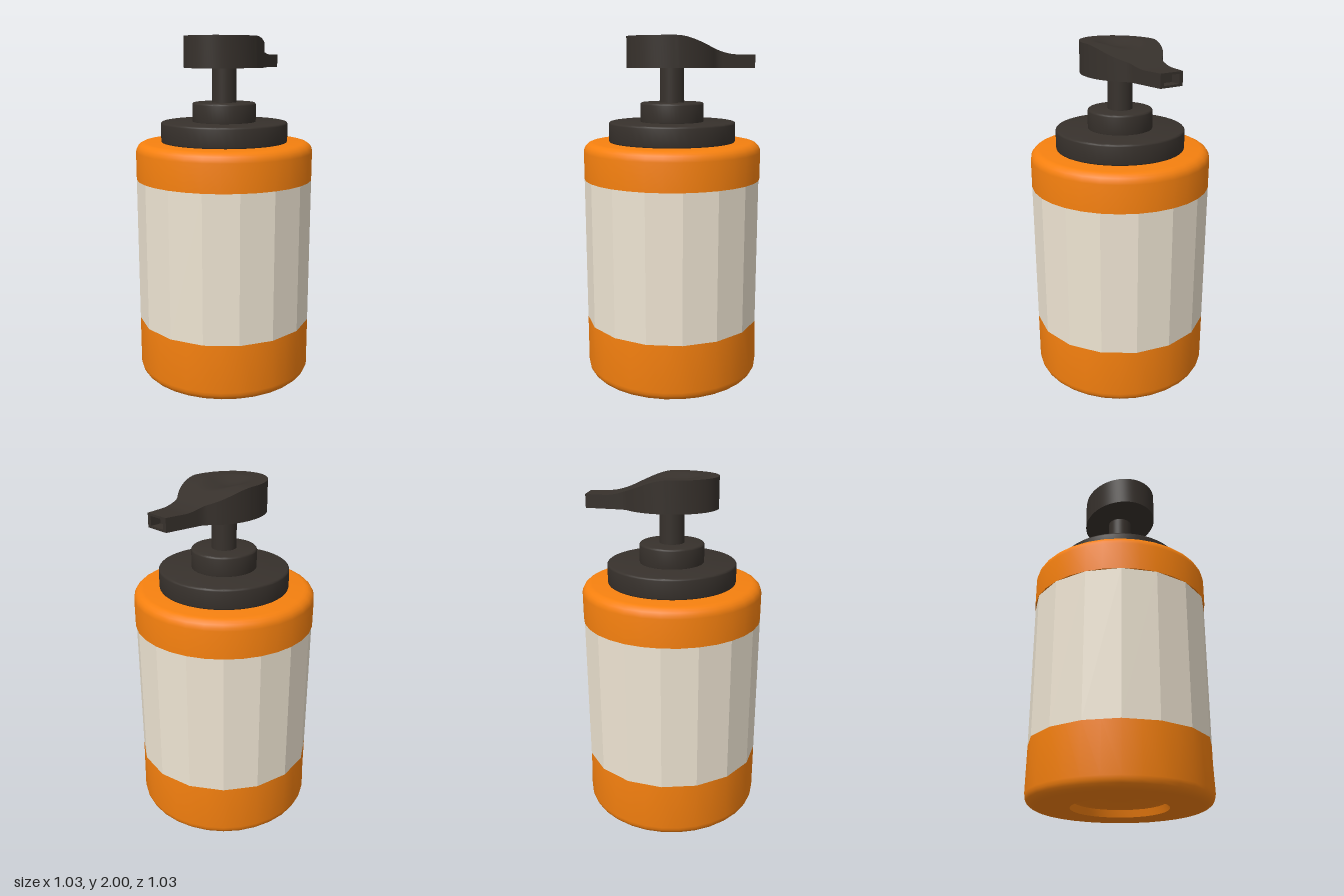
import * as THREE from 'three';
import { toCreasedNormals } from 'three/addons/utils/BufferGeometryUtils.js';

const orange = new THREE.MeshStandardMaterial({ color: 0xf5800f });
const cream = new THREE.MeshStandardMaterial({ color: 0xeee4d2, flatShading: true });
const dark = new THREE.MeshStandardMaterial({ color: 0x37312c });

function lathe(points, segments) {
  return new THREE.LatheGeometry(points.map(([x, y]) => new THREE.Vector2(x, y)), segments);
}

// Quarter-round profile points about (cx, cy), from angle a to b in degrees
function arc(cx, cy, r, a, b, steps = 5) {
  return Array.from({ length: steps + 1 }, (_, i) => {
    const t = THREE.MathUtils.degToRad(a + ((b - a) * i) / steps);
    return [cx + r * Math.cos(t), cy + r * Math.sin(t)];
  });
}

// Bottle: recessed base, rounded shoulders, groove that holds the label
function bodyGeometry() {
  const R = 0.515, low = 0.34, high = 1.19;
  const g = lathe([
    [0, 0.05], [0.24, 0.05], [0.258, 0.04], [0.27, 0],
    ...arc(R - 0.06, 0.06, 0.06, -90, 0),
    [R, low], [0.49, low], [0.49, high], [R, high],
    ...arc(R - 0.055, 1.35, 0.055, 0, 90),
    [0, 1.405],
  ], 32);
  // Pull in every other vertex of the lower band's rim to meet the 16-sided label
  const p = g.attributes.position, perColumn = p.count / 33;
  for (let i = 0; i < p.count; i++) {
    const odd = Math.floor(i / perColumn) % 2 === 1;
    if (odd && Math.abs(p.getY(i) - low) < 1e-4 && Math.hypot(p.getX(i), p.getZ(i)) > 0.5) {
      const k = Math.cos(Math.PI / 16);
      p.setXYZ(i, p.getX(i) * k, p.getY(i), p.getZ(i) * k);
    }
  }
  return toCreasedNormals(g, 0.6);
}

// Disc with softly rounded upper and lower edges
function discGeometry(r, y0, y1, b = 0.012) {
  return toCreasedNormals(lathe([
    [0, y0], ...arc(r - b, y0 + b, b, -90, 0, 3), ...arc(r - b, y1 - b, b, 0, 90, 3), [0, y1],
  ], 48), 0.6);
}

// Pump head: cross-sections lofted from the rounded front to the hollow spout tip
function headGeometry() {
  const base = 1.825, front = 0.26, back = -0.47, N = 28;
  const halfWidth = (z) => {
    if (z >= 0) return 0.21 * Math.sqrt(Math.max(0, 1 - (z / front) ** 2));
    const a = 0.21 * Math.sqrt(Math.max(0, 1 - (z / 0.27) ** 2));
    const b = 0.068 + 0.142 * (z - back);
    return 0.5 * (a + b + Math.sqrt((a - b) ** 2 + 0.0004));
  };
  const topY = (x, z) => {
    const slope = 0.1 * THREE.MathUtils.smoothstep(-z, 0, 0.36);
    const d = (x / 0.135) ** 2 + ((z - 0.02) / 0.155) ** 2;
    return 2 - slope - (d < 1 ? 0.03 * (1 - d) ** 1.5 : 0);
  };
  const section = (z) => {
    const w = halfWidth(z), ring = [];
    for (let j = 0; j <= N; j++) {
      const x = w * (-1 + (2 * j) / N);
      ring.push([x, topY(x, z), z]);
    }
    ring.push([w, base, z], [-w, base, z]);
    return ring;
  };
  const rings = [];
  for (let i = 0; i < 24; i++) rings.push(section(front * Math.cos((i / 24) * Math.PI / 2)));
  for (let i = 0; i <= 40; i++) rings.push(section((back * i) / 40));
  // Spout opening: inset rim, then a short blind hole
  const tip = rings[rings.length - 1];
  const inset = (k, dz) => tip.map(([x, y, z]) => [x * k, 1.862 + (y - 1.862) * k, z + dz]);
  rings.push(inset(0.68, 0), inset(0.66, 0.06), inset(0, 0.06));

  const n = N + 3, index = [];
  for (let i = 0; i < rings.length - 1; i++) {
    for (let j = 0; j < n; j++) {
      const a = i * n + j, b = i * n + ((j + 1) % n);
      index.push(a, b, b + n, a, b + n, a + n);
    }
  }
  const g = new THREE.BufferGeometry();
  g.setAttribute('position', new THREE.Float32BufferAttribute(rings.flat(2), 3));
  g.setIndex(index);
  return toCreasedNormals(g, 0.6);
}

export function createModel() {
  const model = new THREE.Group();
  model.name = 'pumpBottle';
  const add = (name, geometry, material) => {
    const mesh = new THREE.Mesh(geometry, material);
    mesh.name = name;
    model.add(mesh);
    return mesh;
  };

  add('bottle', bodyGeometry(), orange);

  // Faceted paper band around the bottle
  const label = add('label', new THREE.CylinderGeometry(0.515, 0.515, 0.85, 16, 1, true), cream);
  label.position.y = 0.765;

  // Pump
  add('collar', discGeometry(0.368, 1.4, 1.52), dark);
  add('collarNeck', discGeometry(0.184, 1.51, 1.63), dark);
  const stem = add('stem', new THREE.CylinderGeometry(0.07, 0.07, 0.23, 32), dark);
  stem.position.y = 1.725;
  add('pumpHead', headGeometry(), dark);

  return model;
}
